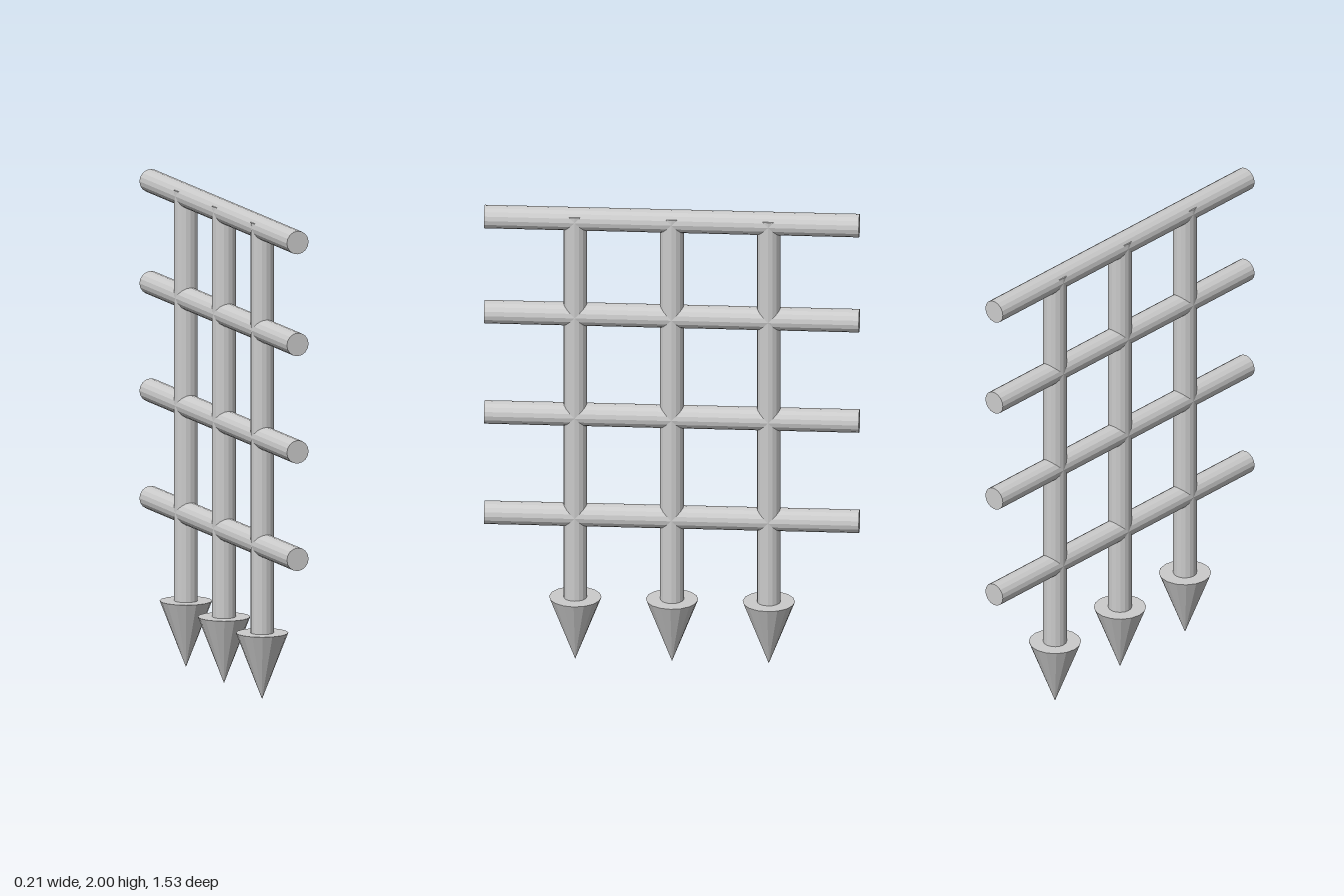
import * as THREE from 'three';

const SIDES = 16;
const ROD_RADIUS = 0.048;

export function createModel() {
  const model = new THREE.Group();
  model.name = 'portcullis';
  const material = new THREE.MeshStandardMaterial({ color: 0xcccccc, flatShading: true });

  const add = (name, geometry, y, z) => {
    const mesh = new THREE.Mesh(geometry, material);
    mesh.name = name;
    mesh.position.set(0, y, z);
    model.add(mesh);
  };

  // Horizontal bars running along z
  const barGeometry = new THREE.CylinderGeometry(ROD_RADIUS, ROD_RADIUS, 1.53, SIDES).rotateX(Math.PI / 2);
  [0.64, 1.085, 1.53, 1.952].forEach((y, i) => add(`crossBar${i + 1}`, barGeometry, y, 0));

  // Upright bars, each ending in a downward spike
  const bottom = 0.275, top = 1.975;
  const uprightGeometry = new THREE.CylinderGeometry(ROD_RADIUS, ROD_RADIUS, top - bottom, SIDES);
  const spikeGeometry = new THREE.ConeGeometry(0.107, bottom, SIDES).rotateX(Math.PI);
  [-0.395, 0, 0.395].forEach((z, i) => {
    add(`upright${i + 1}`, uprightGeometry, (top + bottom) / 2, z);
    add(`spike${i + 1}`, spikeGeometry, bottom / 2, z);
  });

  return model;
}
